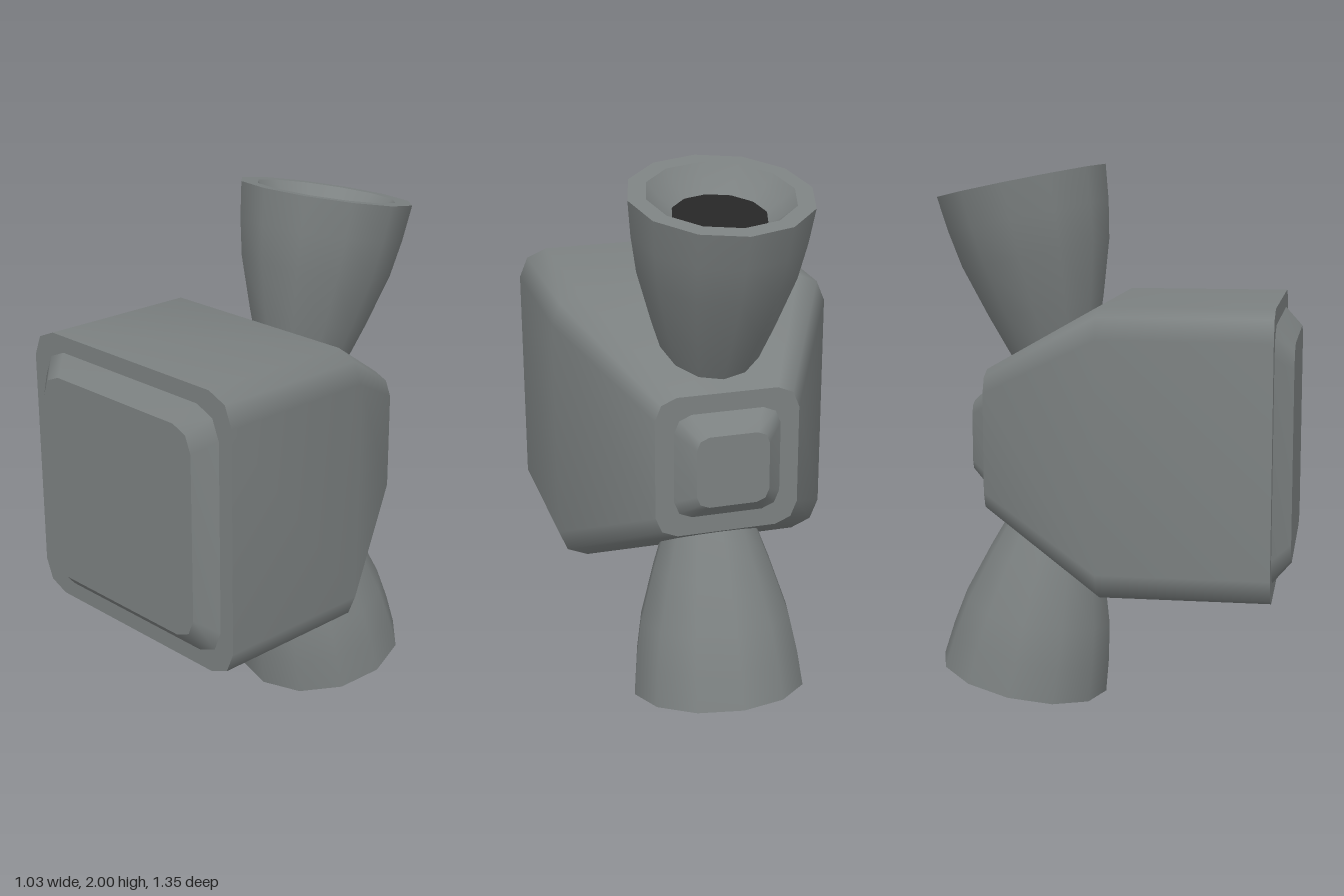
import * as THREE from 'three';

const MID = 1.0; // height of the body's centre line

// Rounded square outline: half size h, corner radius r, two facets per corner
function outline(h, r) {
  const pts = [];
  for (let q = 0; q < 4; q++) {
    for (let i = 0; i <= 2; i++) {
      const a = q * Math.PI / 2 + i * Math.PI / 4;
      const sx = q === 0 || q === 3 ? 1 : -1, sy = q < 2 ? 1 : -1;
      pts.push([sx * (h - r) + r * Math.cos(a), sy * (h - r) + r * Math.sin(a)]);
    }
  }
  return pts;
}

// Smooth skin through sections [z, half size, corner radius], listed from back to front
function skin(sections) {
  const pos = [], idx = [], n = 12;
  for (const [z, h, r] of sections) for (const [x, y] of outline(h, r)) pos.push(x, y, z);
  for (let s = 0; s < sections.length - 1; s++) {
    for (let i = 0; i < n; i++) {
      const a = s * n + i, b = s * n + (i + 1) % n;
      idx.push(a, b, b + n, a, b + n, a + n);
    }
  }
  const g = new THREE.BufferGeometry();
  g.setAttribute('position', new THREE.Float32BufferAttribute(pos, 3));
  g.setIndex(idx);
  g.computeVertexNormals();
  return g;
}

// Flat end face, facing front (dir 1) or back (dir -1)
function cap([z, h, r], dir) {
  const shape = new THREE.Shape(outline(h, r).map(([x, y]) => new THREE.Vector2(x, y)));
  const g = new THREE.ShapeGeometry(shape);
  if (dir < 0) g.rotateY(Math.PI);
  return g.translate(0, 0, z);
}

export function createModel() {
  const hull = new THREE.MeshStandardMaterial({ color: 0x7c8181 });
  hull.name = 'hullGrey';
  const dark = new THREE.MeshStandardMaterial({ color: 0x262626 });
  dark.name = 'nozzleBlack';

  const model = new THREE.Group();
  model.name = 'thrusterPod';
  const add = (parent, name, geometry, material = hull) => {
    const mesh = new THREE.Mesh(geometry, material);
    mesh.name = name;
    parent.add(mesh);
  };

  // Closed block made of a skin and two end faces
  const block = (name, sections) => {
    const group = new THREE.Group();
    group.name = name;
    group.position.y = MID;
    add(group, name + 'Sides', skin(sections));
    add(group, name + 'Front', cap(sections[sections.length - 1], 1));
    add(group, name + 'Back', cap(sections[0], -1));
    model.add(group);
  };

  // Body with tapered rear, and a bevelled plate at each end
  block('body', [[-0.45, 0.262, 0.08], [0, 0.517, 0.107], [0.608, 0.517, 0.107]]);
  block('frontPlate', [[0.607, 0.457, 0.105], [0.673, 0.39, 0.085]]);
  block('rearPlate', [[-0.52, 0.132, 0.045], [-0.449, 0.195, 0.065]]);

  // Flared nozzles, leaning back, origin at the middle of the rim
  const lathe = (pts) => new THREE.LatheGeometry(pts.map(([r, y]) => new THREE.Vector2(r, y)), 12);
  const tilt = 0.197;
  for (const side of [1, -1]) {
    const nozzle = new THREE.Group();
    nozzle.name = side > 0 ? 'upperNozzle' : 'lowerNozzle';
    add(nozzle, 'nozzleBell', lathe([[0.11, -0.77], [0.168, -0.62], [0.222, -0.465], [0.283, -0.268], [0.308, -0.13], [0.323, 0]]));
    add(nozzle, 'nozzleRim', lathe([[0.323, 0], [0.26, 0]]));
    add(nozzle, 'nozzleBowl', lathe([[0.26, 0], [0.215, -0.045], [0.16, -0.084]]));
    const disc = new THREE.CircleGeometry(0.166, 40).rotateX(-Math.PI / 2).translate(0, -0.079, 0);
    add(nozzle, 'nozzleThroat', disc, dark);
    nozzle.position.set(0, MID + side * 0.937, -0.357);
    nozzle.rotation.x = side > 0 ? -tilt : Math.PI + tilt;
    model.add(nozzle);
  }
  return model;
}
